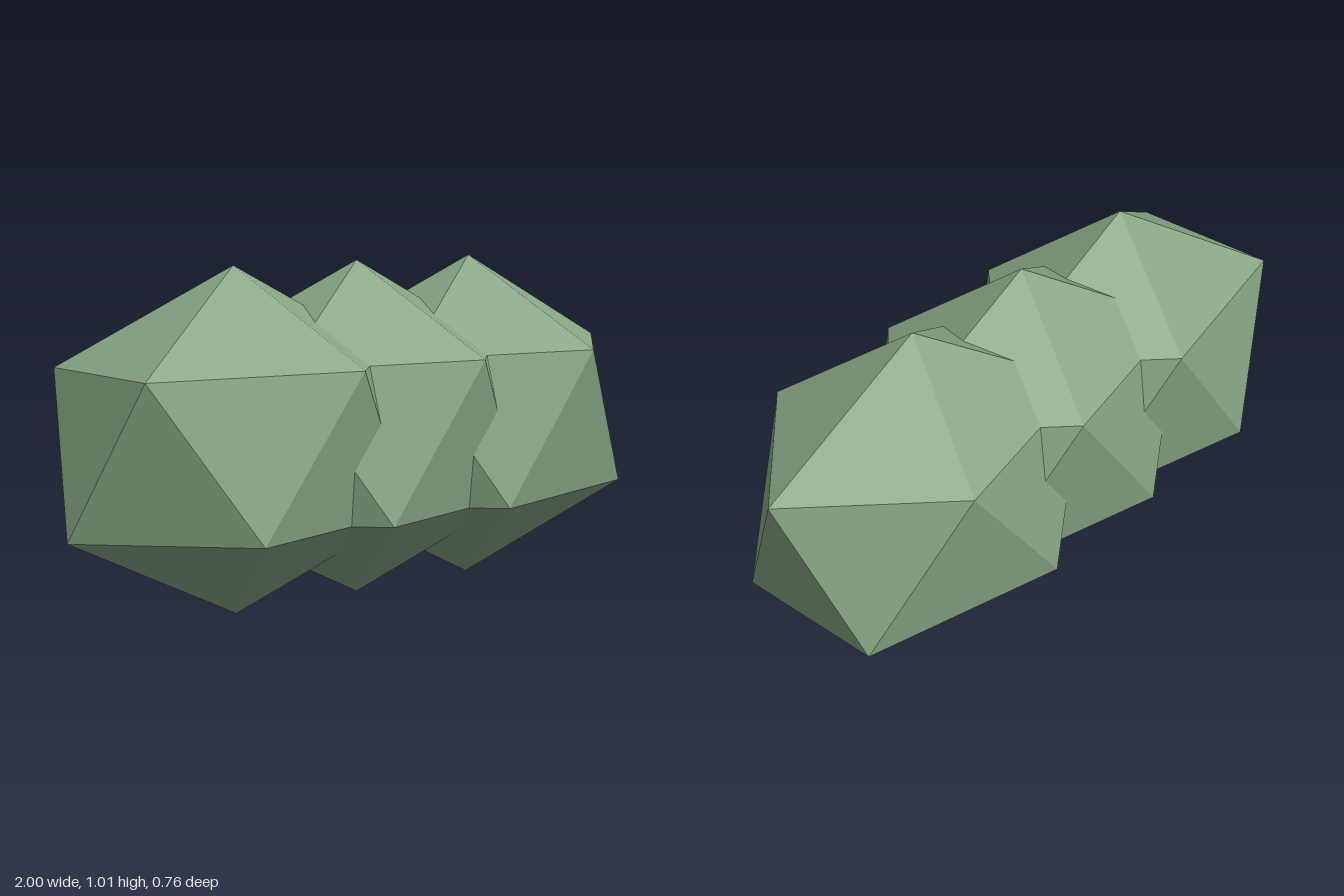
import * as THREE from 'three';

export function createModel() {
  const model = new THREE.Group();
  model.name = 'facetedBushRow';

  const leaf = new THREE.MeshStandardMaterial({ color: 0x87a585 });
  leaf.name = 'sage green';

  // Icosahedron stood on one corner, upper ring pointing to +x, then stretched
  const golden = (1 + Math.sqrt(5)) / 2;
  const clump = new THREE.IcosahedronGeometry(1, 0);
  clump.rotateX(-Math.atan(golden));
  clump.rotateY(Math.PI / 2);
  clump.scale(0.618, 0.503, 0.447);

  // Three overlapping clumps in a row
  const names = ['rightClump', 'middleClump', 'leftClump'];
  names.forEach((name, i) => {
    const mesh = new THREE.Mesh(clump, leaf);
    mesh.name = name;
    mesh.position.set((i - 1) * 0.447, 0.503, 0);
    model.add(mesh);
  });

  return model;
}
